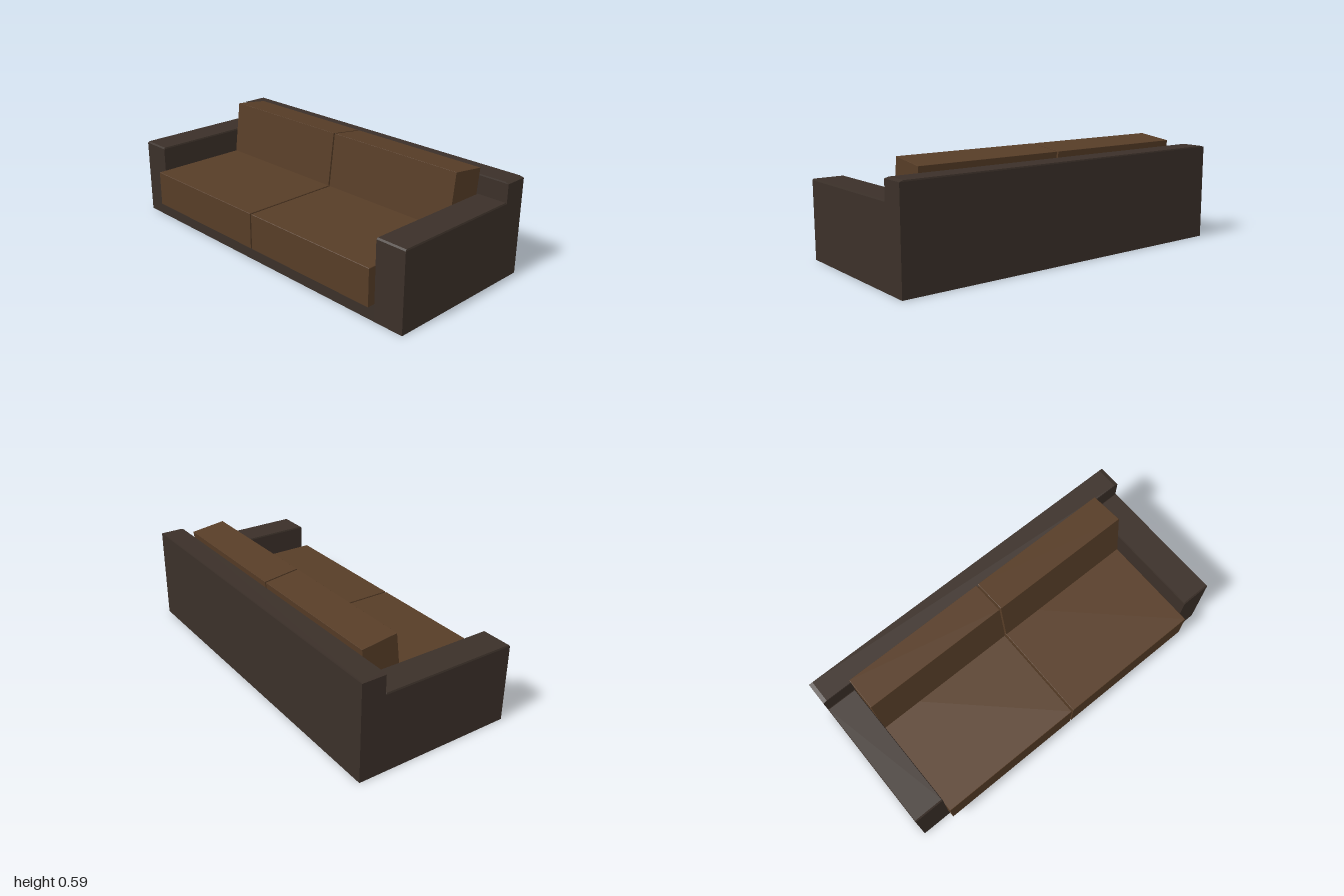
import * as THREE from 'three';

const frameMat = new THREE.MeshStandardMaterial({ color: 0x3b3029 });
const cushionMat = new THREE.MeshStandardMaterial({ color: 0x573d27 });

// Box between two corners whose upper rim is chamfered by (dx, dy, dz)
function bevelBox(name, mat, [x0, y0, z0], [x1, y1, z1], [dx, dy, dz]) {
  const w = x1 - x0, h = y1 - y0, d = z1 - z0;
  let geo = new THREE.BoxGeometry(w, h, d, 1, 2, 1);
  const p = geo.attributes.position;
  for (let i = 0; i < p.count; i++) {
    const y = p.getY(i);
    if (Math.abs(y) < 1e-6) p.setY(i, h / 2 - dy);
    else if (y > 0) {
      p.setX(i, p.getX(i) - Math.sign(p.getX(i)) * dx);
      p.setZ(i, p.getZ(i) - Math.sign(p.getZ(i)) * dz);
    }
  }
  geo = geo.toNonIndexed();
  geo.computeVertexNormals();
  const mesh = new THREE.Mesh(geo, mat);
  mesh.name = name;
  mesh.position.set((x0 + x1) / 2, (y0 + y1) / 2, (z0 + z1) / 2);
  return mesh;
}

export function createModel() {
  const sofa = new THREE.Group();
  sofa.name = 'sofa';

  // Frame: low base and full-length backrest
  sofa.add(bevelBox('base', frameMat, [-0.42, 0, -0.83], [0.33, 0.092, 0.83], [0, 0, 0]));
  sofa.add(bevelBox('backrest', frameMat, [0.33, 0, -1], [0.46, 0.531, 1], [0.002, 0.007, 0.022]));

  for (const s of [-1, 1]) {
    const side = s > 0 ? 'Left' : 'Right';
    const span = (a, b) => (s > 0 ? [a, b] : [-b, -a]);

    // Armrest
    const [a0, a1] = span(0.83, 1);
    sofa.add(bevelBox('armrest' + side, frameMat,
      [-0.42, 0, a0], [0.33, 0.428, a1], [0.007, 0.008, 0.003]));

    // Seat cushion, overhanging the base at the front
    const [c0, c1] = span(0.005, 0.829);
    sofa.add(bevelBox('seatCushion' + side, cushionMat,
      [-0.462, 0.092, c0], [0.32, 0.29, c1], [0.002, 0.002, 0.002]));

    // Leaning back cushion
    const back = bevelBox('backCushion' + side, cushionMat,
      [0.12, 0.277, c0], [0.316, 0.577, c1], [0.001, 0.001, 0.002]);
    back.rotation.z = -0.127;
    sofa.add(back);
  }
  return sofa;
}
